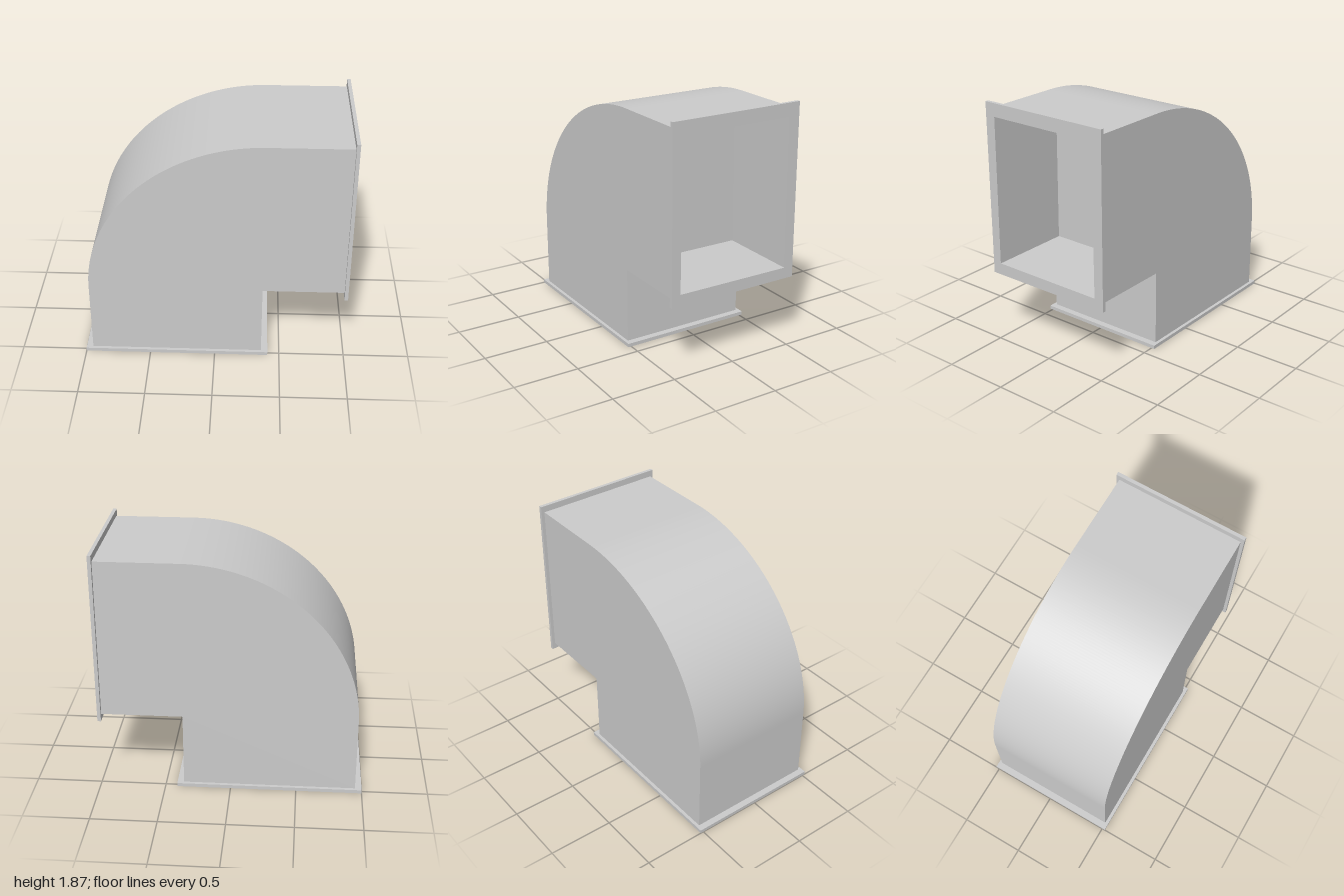
import * as THREE from 'three';
import { toCreasedNormals } from 'three/addons/utils/BufferGeometryUtils.js';

const CORNER_X = 0.36, CORNER_Y = 0.6; // inner corner of the elbow
const LEFT = -0.95, TOP = 1.82, HALF_DEPTH = 0.5;
const FLANGE = 0.027, FLANGE_HALF_DEPTH = 0.525;

const rect = (x0, y0, x1, y1) =>
  [[x0, y0], [x1, y0], [x1, y1], [x0, y1]].map(([x, y]) => new THREE.Vector2(x, y));

// Rectangular ring extruded along +z from start to end
function ring(outer, opening, start, end) {
  const shape = new THREE.Shape(outer);
  shape.holes.push(new THREE.Path(opening));
  return new THREE.ExtrudeGeometry(shape, { depth: end - start, bevelEnabled: false })
    .translate(0, 0, start);
}

export function createModel() {
  const group = new THREE.Group();
  const material = new THREE.MeshStandardMaterial({ color: 0xcccccc });
  const add = (name, geometry) => {
    const mesh = new THREE.Mesh(geometry, material);
    mesh.name = name;
    group.add(mesh);
  };

  // Curved bend: a quarter ellipse whose flat faces close off both openings
  const quarter = new THREE.Shape();
  quarter.moveTo(CORNER_X, CORNER_Y);
  quarter.lineTo(CORNER_X, TOP);
  quarter.absellipse(CORNER_X, CORNER_Y, CORNER_X - LEFT, TOP - CORNER_Y, Math.PI / 2, Math.PI, false, 0);
  quarter.closePath();
  const bend = new THREE.ExtrudeGeometry(quarter, {
    depth: 2 * HALF_DEPTH, bevelEnabled: false, curveSegments: 48,
  }).translate(0, 0, -HALF_DEPTH);
  add('bend', toCreasedNormals(bend, Math.PI / 6));

  // Lower duct and flange, extruded upwards
  const lowerOpening = rect(-0.9, -0.45, 0.31, 0.45);
  const lowerDuct = rect(LEFT, -HALF_DEPTH, CORNER_X, HALF_DEPTH);
  const lowerFlange = rect(-1, -FLANGE_HALF_DEPTH, 0.41, FLANGE_HALF_DEPTH);
  add('lowerDuct', ring(lowerDuct, lowerOpening, FLANGE, CORNER_Y).rotateX(-Math.PI / 2));
  add('lowerFlange', ring(lowerFlange, lowerOpening, 0, FLANGE).rotateX(-Math.PI / 2));

  // Side duct and flange, extruded towards +x; the opening is slightly skewed
  const sideOpening = [[-0.455, 0.64], [0.45, 0.635], [0.44, 1.77], [-0.445, 1.77]]
    .map(([x, y]) => new THREE.Vector2(x, y));
  const sideDuct = rect(-HALF_DEPTH, CORNER_Y, HALF_DEPTH, TOP);
  const sideFlange = rect(-FLANGE_HALF_DEPTH, 0.55, FLANGE_HALF_DEPTH, 1.87);
  add('sideDuct', ring(sideDuct, sideOpening, CORNER_X, 1 - FLANGE).rotateY(Math.PI / 2));
  add('sideFlange', ring(sideFlange, sideOpening, 1 - FLANGE, 1).rotateY(Math.PI / 2));

  return group;
}
